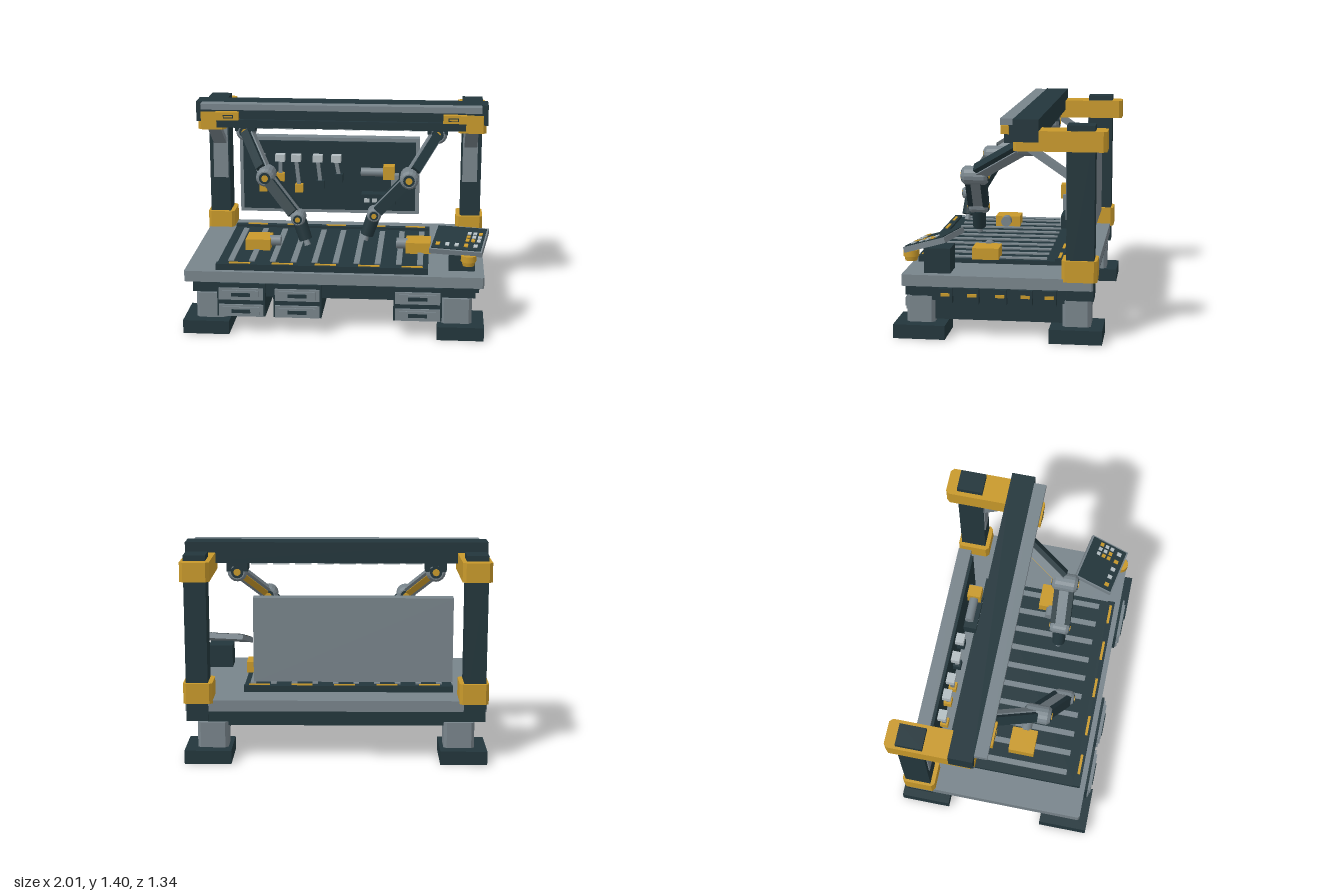
import * as THREE from 'three';

const mat = (name, color) => {
  const m = new THREE.MeshStandardMaterial({ color });
  m.name = name;
  return m;
};

export function createModel() {
  const dark = mat('dark slate', 0x23363c);
  const gray = mat('steel gray', 0x78848b);
  const amber = mat('amber', 0xc8992b);
  const light = mat('light steel', 0xb4bec2);
  const root = new THREE.Group();

  const add = (name, geo, m, x, y, z, parent = root) => {
    const mesh = new THREE.Mesh(geo, m);
    mesh.name = name;
    mesh.position.set(x, y, z);
    parent.add(mesh);
    return mesh;
  };
  // Box given by its min and max on each axis
  const span = (name, m, x0, x1, y0, y1, z0, z1, parent = root) =>
    add(name, new THREE.BoxGeometry(x1 - x0, y1 - y0, z1 - z0), m,
      (x0 + x1) / 2, (y0 + y1) / 2, (z0 + z1) / 2, parent);
  // Upright block with chamfered vertical edges
  const block = (name, m, x0, x1, y0, y1, z0, z1, c) => {
    const a = (x1 - x0) / 2, b = (z1 - z0) / 2;
    const pts = [[-a + c, -b], [a - c, -b], [a, -b + c], [a, b - c], [a - c, b], [-a + c, b], [-a, b - c], [-a, -b + c]];
    const shape = new THREE.Shape(pts.map(p => new THREE.Vector2(...p)));
    const geo = new THREE.ExtrudeGeometry(shape, { depth: y1 - y0, bevelEnabled: false });
    geo.rotateX(-Math.PI / 2);
    return add(name, geo, m, (x0 + x1) / 2, y0, (z0 + z1) / 2);
  };
  // Mirrored ranges for left and right
  const mx = (s, a, b) => (s > 0 ? [a, b] : [-b, -a]);

  // Base: feet, legs, side beams
  for (const s of [-1, 1]) {
    for (const [f0, f1, l0, l1] of [[0.34, 0.67, 0.418, 0.597], [-0.647, -0.315, -0.57, -0.392]]) {
      span('foot', dark, ...mx(s, 0.68, 0.985), 0, 0.09, f0, f1);
      block('leg', gray, ...mx(s, 0.705, 0.905), 0.09, 0.26, l0, l1, 0.02);
    }
    span('sideBeam', dark, ...mx(s, 0.73, 0.87), 0.105, 0.25, -0.4, 0.43);
  }

  // Table
  block('tableTop', gray, -0.98, 0.98, 0.34, 0.413, -0.588, 0.613, 0.01);
  span('apron', dark, -0.925, 0.925, 0.27, 0.34, -0.57, 0.6);
  span('underTray', dark, -0.9, 0.9, 0.235, 0.27, -0.545, 0.575);
  for (const z of [0.34, 0.17, -0.005, -0.165, -0.315]) {
    span('sideModule', dark, 0.9, 0.955, 0.23, 0.325, z - 0.043, z + 0.043);
    span('sideLight', amber, 0.955, 0.962, 0.275, 0.295, z - 0.029, z + 0.029);
  }

  // Drawer stacks
  for (const x of [-0.602, -0.232, 0.553]) {
    span('drawerCabinet', dark, x - 0.158, x + 0.158, 0.115, 0.34, 0.15, 0.632);
    for (const y of [0.158, 0.272]) {
      span('drawerFront', gray, x - 0.146, x + 0.146, y - 0.04, y + 0.04, 0.63, 0.645);
      span('drawerPanel', gray, x - 0.12, x + 0.12, y - 0.027, y + 0.027, 0.645, 0.655);
      span('drawerSlot', dark, x - 0.062, x + 0.062, y - 0.012, y + 0.012, 0.655, 0.661);
    }
  }

  // Work bed with slats and marker rails
  span('workBed', dark, -0.775, 0.615, 0.413, 0.44, -0.34, 0.55);
  for (let i = 0; i < 10; i++) {
    const x = -0.69 + i * 0.139;
    span('bedSlat', gray, x - 0.019, x + 0.019, 0.44, 0.449, -0.26, 0.47);
  }
  for (const z of [-0.343, 0.552]) {
    span('bedRail', dark, -0.775, 0.615, 0.413, 0.455, z - 0.025, z + 0.025);
    for (let i = 0; i < 5; i++) {
      const x = -0.62 + i * 0.283;
      span('railMark', amber, x - 0.07, x + 0.07, 0.455, 0.461, z - 0.009, z + 0.009);
    }
  }
  for (const s of [-1, 1]) {
    span('clampBlock', amber, ...mx(s, 0.46, 0.628), 0.44, 0.515, 0.048, 0.223);
    const jaw = add('clampJaw', new THREE.CylinderGeometry(0.036, 0.036, 0.075, 20), gray, s * 0.432, 0.488, 0.14);
    jaw.rotation.z = Math.PI / 2;
  }

  // Gantry columns, brackets and braces
  for (const s of [-1, 1]) {
    span('column', dark, ...mx(s, 0.83, 0.972), 0.275, 1.365, -0.592, -0.42);
    span('columnPlate', gray, ...mx(s, 0.84, 0.945), 0.78, 1.2, -0.42, -0.413);
    block('columnClamp', amber, ...mx(s, 0.8, 0.99), 0.395, 0.53, -0.612, -0.392, 0.02);
    block('beamBracket', amber, ...mx(s, 0.8, 0.99), 1.205, 1.33, -0.665, -0.09, 0.022);
    const brace = add('brace', new THREE.BoxGeometry(0.09, 0.04, 0.32), gray, s * 0.895, 1.135, -0.3);
    brace.rotation.x = -0.6;
  }

  // Cross beam with cover, rail and lamps
  span('crossBeam', dark, -1, 1, 1.262, 1.4, -0.25, -0.092);
  span('beamCover', gray, -0.955, 0.955, 1.36, 1.4, -0.092, -0.01);
  span('armRail', dark, -0.85, 0.85, 1.235, 1.36, -0.092, -0.045);
  span('railLip', dark, -0.85, 0.85, 1.235, 1.29, -0.05, -0.02);
  for (let i = 0; i < 8; i++) {
    const x = -0.52 + i * 0.149;
    span('beamLamp', light, x - 0.055, x + 0.055, 1.225, 1.235, -0.085, -0.045);
  }

  // Tool board
  span('toolBoard', gray, -0.757, 0.535, 0.525, 1.08, -0.527, -0.44);
  span('boardFace', dark, -0.73, 0.507, 0.552, 1.055, -0.44, -0.422);
  // Hanging tools: x, grip bottom, grip offset, grip material
  for (const [x, y, dx, m] of [[-0.605, 0.69, 0.022, amber], [-0.46, 0.77, 0.002, amber],
    [-0.345, 0.69, 0.02, amber], [-0.19, 0.72, 0.018, dark], [-0.058, 0.77, 0.02, dark]]) {
    span('hammerHead', light, x - 0.034, x + 0.034, 0.915, 0.965, -0.422, -0.365);
    const len = 0.915 - y - 0.04;
    const h = add('hammerHandle', new THREE.BoxGeometry(0.026, len, 0.025), gray, x + dx / 2, 0.915 - len / 2, -0.395);
    h.rotation.z = dx / len;
    span('hammerGrip', m, x + dx - 0.028, x + dx + 0.028, y, y + 0.057, -0.422, -0.37);
  }
  // Power driver and bit holder
  const barrel = add('driverBarrel', new THREE.CylinderGeometry(0.03, 0.03, 0.17, 20), gray, 0.205, 0.85, -0.375);
  barrel.rotation.z = Math.PI / 2;
  span('driverBody', amber, 0.28, 0.36, 0.805, 0.9, -0.422, -0.33);
  span('driverHandle', gray, 0.335, 0.39, 0.735, 0.835, -0.422, -0.345);
  span('driverBattery', amber, 0.335, 0.39, 0.7, 0.735, -0.422, -0.365);
  span('bitHolder', dark, 0.125, 0.37, 0.607, 0.695, -0.422, -0.332);
  for (let i = 0; i < 4; i++) {
    const x = 0.165 + i * 0.055;
    span('bit', light, x - 0.018, x + 0.018, 0.637, 0.667, -0.332, -0.326);
  }

  // Robot arms
  const V = (x, y, z) => new THREE.Vector3(x, y, z);
  // Group whose y runs from a to b and whose z faces forward
  const limb = (name, a, b) => {
    const g = new THREE.Group();
    g.name = name;
    const d = b.clone().sub(a).normalize();
    const n = V(0, 0, 1).addScaledVector(d, -d.z).normalize();
    g.quaternion.setFromRotationMatrix(new THREE.Matrix4().makeBasis(d.clone().cross(n), d, n));
    g.position.copy(a).lerp(b, 0.5);
    root.add(g);
    return { g, len: a.distanceTo(b) };
  };
  const joint = (p, r, len) => {
    const h = len / 2;
    const prof = [[0.001, -h], [r * 0.75, -h], [r, -h + 0.02], [r, h - 0.02], [r * 0.75, h], [0.001, h]];
    const geo = new THREE.LatheGeometry(prof.map(q => new THREE.Vector2(...q)), 16).toNonIndexed();
    geo.computeVertexNormals();
    add('joint', geo, gray, p.x, p.y, p.z).rotation.x = Math.PI / 2;
    for (const [name, k, t, m] of [['jointRing', 0.62, 0.004, dark], ['jointHub', 0.36, 0.009, amber]]) {
      const disc = new THREE.CylinderGeometry(r * k, r * k, len + 2 * t, 16);
      add(name, disc, m, p.x, p.y, p.z).rotation.x = Math.PI / 2;
    }
  };
  for (const [s, wz, tz] of [[-1, 0.36, 0.385], [1, 0.235, 0.24]]) {
    const shoulder = V(s * 0.66, 1.195, -0.145), elbow = V(s * 0.478, 0.968, 0.222);
    const wrist = V(s * 0.248, 0.722, wz), tip = V(s * 0.19, 0.55, tz);
    // Carriage on the beam
    span('carriage', amber, ...mx(s, 0.695, 0.855), 1.29, 1.345, -0.05, 0.002);
    span('carriageSlot', dark, ...mx(s, 0.73, 0.8), 1.305, 1.328, 0.002, 0.005);
    span('carriageSlotFill', amber, ...mx(s, 0.737, 0.793), 1.311, 1.322, 0.005, 0.008);
    span('shoulderMount', dark, ...mx(s, 0.59, 0.73), 1.2, 1.262, -0.22, -0.07);
    joint(shoulder, 0.066, 0.15);
    joint(elbow, 0.062, 0.17);
    joint(wrist, 0.048, 0.13);
    // Upper arm
    const u = limb('upperArm', shoulder, elbow);
    add('armCore', new THREE.BoxGeometry(0.08, u.len, 0.06), gray, 0, 0, 0, u.g);
    add('armCover', new THREE.BoxGeometry(0.06, u.len - 0.09, 0.035), dark, 0, 0, 0.045, u.g);
    add('armStripe', new THREE.BoxGeometry(0.04, u.len - 0.1, 0.012), amber, 0, 0, -0.035, u.g);
    // Forearm
    const f = limb('forearm', elbow, wrist);
    add('armCore', new THREE.BoxGeometry(0.064, f.len, 0.09), gray, 0, 0, 0, f.g);
    for (const q of [-1, 1]) {
      add('armCover', new THREE.BoxGeometry(0.07, f.len - 0.07, 0.035), dark, 0, 0, q * 0.05, f.g);
    }
    // Hand and nozzle
    const h = limb('hand', wrist, tip);
    add('handBody', new THREE.CylinderGeometry(0.044, 0.047, 0.13, 12), dark, 0, 0, 0, h.g);
    add('nozzle', new THREE.CylinderGeometry(0.016, 0.022, 0.04, 12), gray, 0, h.len / 2 - 0.008, 0, h.g).rotation.z = Math.PI;
  }

  // Control panel on its pedestal
  span('pedestal', dark, 0.75, 0.92, 0.413, 0.572, 0.312, 0.48);
  const panel = new THREE.Group();
  panel.name = 'controlPanel';
  panel.position.set(0.815, 0.605, 0.432);
  panel.rotation.set(0.29, -0.19, 0, 'YXZ');
  root.add(panel);
  add('panelBody', new THREE.BoxGeometry(0.345, 0.036, 0.285), gray, 0, 0, 0, panel);
  add('panelFace', new THREE.BoxGeometry(0.325, 0.006, 0.262), dark, 0, 0.02, 0, panel);
  for (let i = 0; i < 5; i++) {
    add('panelKey', new THREE.BoxGeometry(0.026, 0.008, 0.032), i % 3 ? light : amber, -0.125 + i * 0.062, 0.026, 0.085, panel);
  }
  for (let i = 0; i < 9; i++) {
    add('panelKey', new THREE.BoxGeometry(0.024, 0.008, 0.026), i % 4 < 2 ? light : amber,
      0.06 + (i % 3) * 0.037, 0.026, -0.055 + Math.floor(i / 3) * 0.04, panel);
  }
  // Stop button
  add('stopButton', new THREE.CylinderGeometry(0.05, 0.05, 0.04, 24), amber, 0.875, 0.533, 0.568);
  add('stopStem', new THREE.CylinderGeometry(0.045, 0.038, 0.03, 24), amber, 0.875, 0.499, 0.568);

  return root;
}
